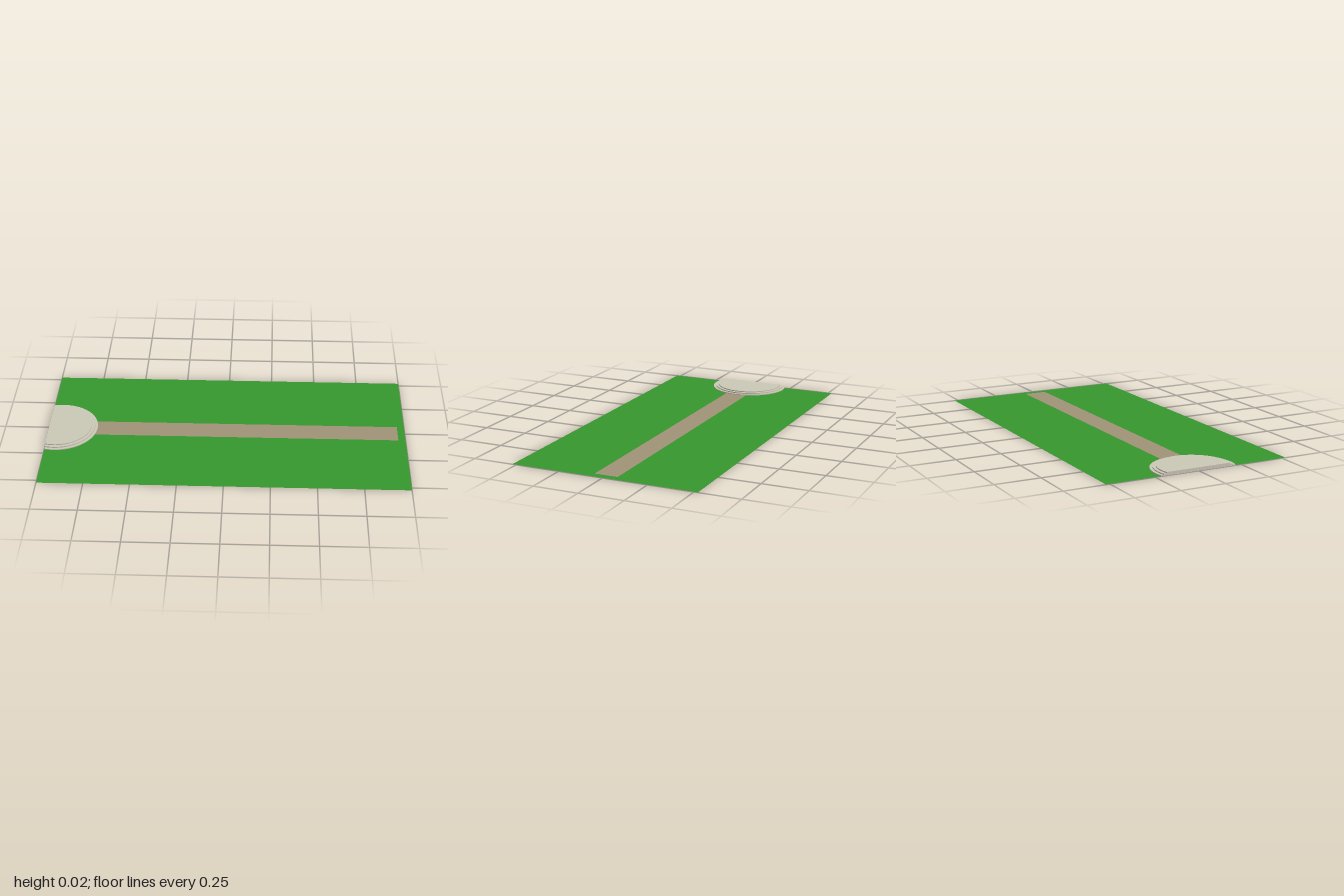
import * as THREE from 'three';

const flat = (name, color, side = THREE.FrontSide) => {
  const m = new THREE.MeshStandardMaterial({ color, side });
  m.name = name;
  return m;
};

export function createModel() {
  const group = new THREE.Group();
  group.name = 'lawnWithPathAndSteps';

  const grass = flat('grass green', 0x35962d, THREE.DoubleSide);
  const dirt = flat('path brown', 0x9f9377, THREE.DoubleSide);
  const stone = flat('pale stone', 0xc9c7b5);
  const riser = flat('riser stone', 0xc9c0b4, THREE.DoubleSide);

  const add = (name, geometry, material, y) => {
    const mesh = new THREE.Mesh(geometry.rotateX(-Math.PI / 2), material);
    mesh.name = name;
    mesh.position.y = y;
    group.add(mesh);
    return mesh;
  };

  // Lawn and the path lying on it
  add('lawn', new THREE.PlaneGeometry(2, 1.044), grass, 0.001);
  add('path', new THREE.PlaneGeometry(1.96, 0.13), dirt, 0.002).position.x = -0.02;

  // Disc cut off by a straight chord along the lawn's edge
  const centre = -0.95, edge = -1;
  const cutDisc = (radius) => {
    const a = Math.acos((edge - centre) / radius);
    const shape = new THREE.Shape();
    shape.absarc(centre, 0, radius, -a, a, false);
    shape.closePath();
    return shape;
  };

  // Three stacked steps, each smaller than the one below
  const rise = 0.006;
  [0.222, 0.207, 0.19].forEach((radius, i) => {
    const base = i === 0 ? 0.0005 : i * rise;
    const geometry = new THREE.ExtrudeGeometry(cutDisc(radius), {
      depth: (i + 1) * rise - base, bevelEnabled: false, curveSegments: 48,
    });
    add('step' + (i + 1), geometry, [stone, riser], base);
  });

  // Underside of the lowest step
  add('stepUnderside', new THREE.ShapeGeometry(cutDisc(0.222), 48), riser, 0);

  return group;
}
